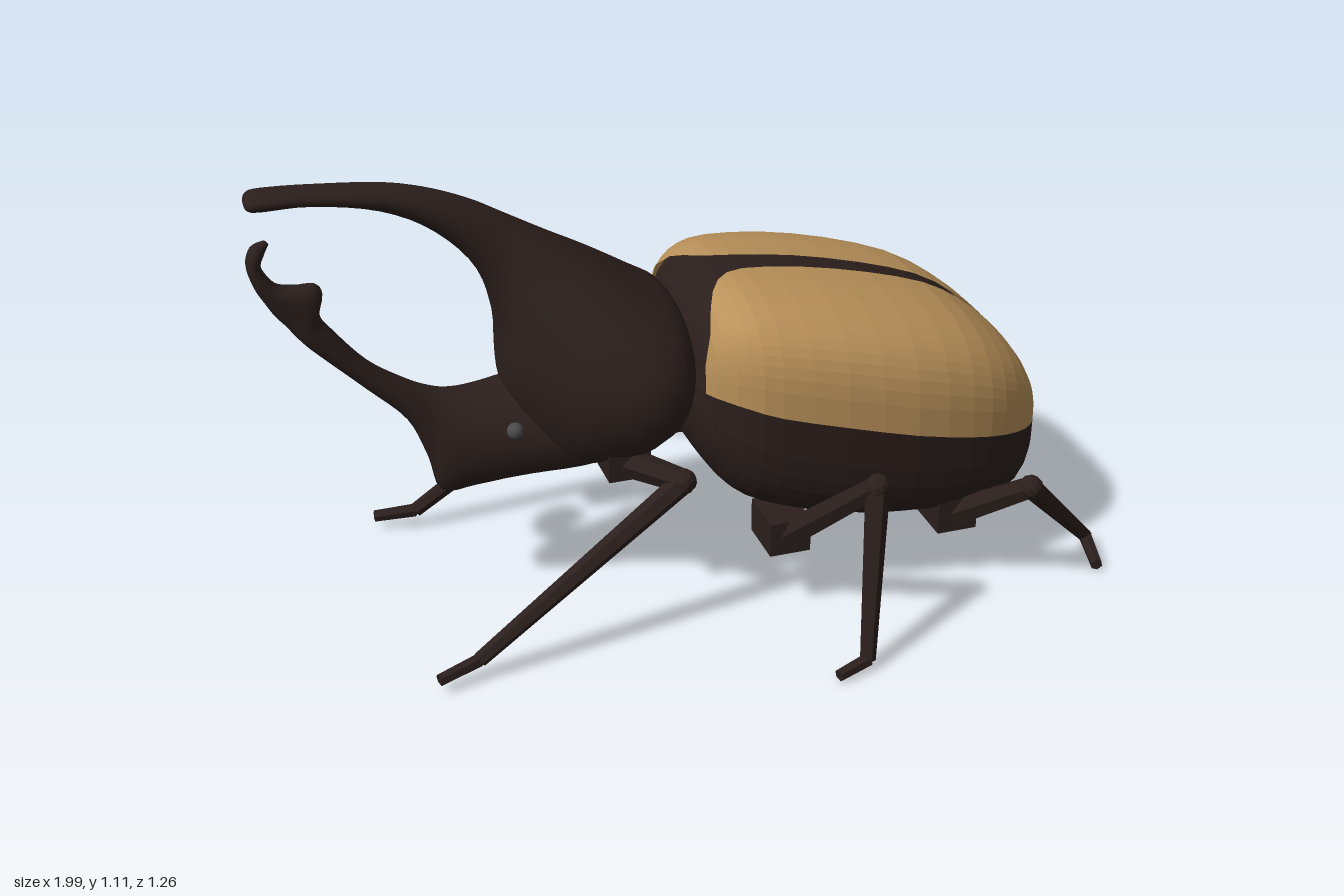
import * as THREE from 'three';

const dark = new THREE.MeshStandardMaterial({ color: 0x2b1f1c });
const darkFlat = new THREE.MeshStandardMaterial({ color: 0x2b1f1c, flatShading: true });
const tan = new THREE.MeshStandardMaterial({ color: 0xb9915a, flatShading: true, side: THREE.DoubleSide });
const grey = new THREE.MeshStandardMaterial({ color: 0x4a4a4a });
const midZ = 0.013; // body centre line

// Catmull-Rom resampling of rows of numbers
function resample(rows, steps) {
  const out = [];
  const at = i => rows[Math.max(0, Math.min(rows.length - 1, i))];
  for (let i = 0; i < rows.length - 1; i++) {
    for (let s = 0; s < steps; s++) {
      const t = s / steps;
      out.push(rows[i].map((p1, k) => {
        const p0 = at(i - 1)[k], p2 = at(i + 1)[k], p3 = at(i + 2)[k];
        return p1 + 0.5 * t * (p2 - p0 + t * (2 * p0 - 5 * p1 + 4 * p2 - p3 + t * (3 * (p1 - p2) + p3 - p0)));
      }));
    }
  }
  out.push(rows[rows.length - 1]);
  return out;
}

// Skin through rings of points; closed rings also get end caps
function loft(rings, closed) {
  const pos = [], idx = [], n = rings[0].length;
  rings.forEach(r => r.forEach(p => pos.push(...p)));
  for (let i = 0; i < rings.length - 1; i++) {
    for (let j = 0; j < (closed ? n : n - 1); j++) {
      const a = i * n + j, b = i * n + (j + 1) % n;
      idx.push(a, a + n, b, b, a + n, b + n);
    }
  }
  if (closed) {
    [0, rings.length - 1].forEach(i => {
      const c = pos.length / 3;
      pos.push(...[0, 1, 2].map(k => rings[i].reduce((s, p) => s + p[k], 0) / n));
      for (let j = 0; j < n; j++) {
        const a = i * n + j, b = i * n + (j + 1) % n;
        if (i === 0) idx.push(c, a, b); else idx.push(c, b, a);
      }
    });
  }
  const g = new THREE.BufferGeometry();
  g.setAttribute('position', new THREE.Float32BufferAttribute(pos, 3));
  g.setIndex(idx);
  g.computeVertexNormals();
  return g;
}

const spow = (v, e) => Math.sign(v) * Math.pow(Math.abs(v), e);

// Rounded body from rows [topX, topY, bottomX, bottomY, halfWidth], listed rear to front
function spineLoft(rows, sides = 24) {
  const rings = resample(rows, 4).reverse().map(([tx, ty, bx, by, w]) => {
    const ring = [];
    for (let j = 0; j < sides; j++) {
      const a = j / sides * Math.PI * 2, s = Math.sin(a) / 2;
      ring.push([(tx + bx) / 2 + (tx - bx) * s, (ty + by) / 2 + (ty - by) * s, midZ + w * Math.cos(a)]);
    }
    return ring;
  });
  return loft(rings, true);
}

// Abdomen rows: x, top, seam, bottom, halfWidth, inner edge of wing case
const abdomen = resample([
  [-0.045, 0.68, 0.58, 0.46, 0.14, 0.3],
  [-0.02, 0.73, 0.575, 0.39, 0.22, 0.25],
  [0.015, 0.765, 0.57, 0.33, 0.265, 0.15],
  [0.06, 0.785, 0.56, 0.275, 0.3, 0.07],
  [0.13, 0.79, 0.54, 0.235, 0.33, 0.04],
  [0.28, 0.77, 0.505, 0.19, 0.358, 0.035],
  [0.45, 0.73, 0.46, 0.165, 0.367, 0.031],
  [0.6, 0.68, 0.42, 0.15, 0.348, 0.027],
  [0.7, 0.62, 0.392, 0.145, 0.315, 0.022],
  [0.78, 0.55, 0.367, 0.155, 0.262, 0.018],
  [0.83, 0.475, 0.352, 0.195, 0.205, 0.014],
  [0.857, 0.41, 0.344, 0.25, 0.145, 0.01],
  [0.866, 0.35, 0.341, 0.31, 0.08, 0.008]
], 2);
const power = 3.3;

function abdomenPoint([x, top, seam, bottom, w], a, inset = 1) {
  const h = Math.sin(a) >= 0 ? top - seam : seam - bottom;
  return [0.4 + (x - 0.4) * (1 - (1 - inset) * 0.4),
    seam + h * inset * spow(Math.sin(a), 2 / power),
    w * inset * spow(Math.cos(a), 2 / power)];
}

function abdomenGeometry() {
  const sides = 40;
  return loft(abdomen.map(row => Array.from({ length: sides }, (_, j) => {
    const a = j / sides * Math.PI * 2;
    return abdomenPoint(row, a, j > 0 && j < sides / 2 ? 0.96 : 1);
  })), true);
}

function wingCaseGeometry() {
  const n = 14;
  return loft(abdomen.slice(2).map(row => {
    const end = Math.acos(Math.pow(Math.min(row[5] / row[4], 0.98), power / 2));
    return Array.from({ length: n + 1 }, (_, j) => abdomenPoint(row, end * j / n));
  }), false);
}

// Tapered six-sided leg segment between two points
function segment(name, a, b, r1, r2) {
  const A = new THREE.Vector3(...a), B = new THREE.Vector3(...b), d = B.clone().sub(A);
  const m = new THREE.Mesh(new THREE.CylinderGeometry(r2, r1, d.length(), 6), darkFlat);
  m.name = name;
  m.position.copy(A).add(B).multiplyScalar(0.5);
  m.quaternion.setFromUnitVectors(new THREE.Vector3(0, 1, 0), d.normalize());
  return m;
}

// Joint positions: hip, knee, ankle, toe
const legs = {
  frontLeg: [[-0.2, 0.41, 0.19], [-0.1, 0.405, 0.31], [-0.6, 0.05, 0.347], [-0.7, 0.035, 0.375]],
  middleLeg: [[0.16, 0.2, 0.29], [0.295, 0.425, 0.5], [0.25, 0.025, 0.59], [0.17, 0.015, 0.615]],
  hindLeg: [[0.59, 0.18, 0.29], [0.72, 0.305, 0.43], [0.975, 0.028, 0.265], [0.945, 0.018, 0.385]]
};

function makeLeg(name, s) {
  const g = new THREE.Group();
  g.name = name;
  const [hip, knee, ankle, toe] = legs[name].map(([x, y, z]) => [x, y, midZ * 0.5 + s * z]);
  g.add(segment('femur', hip, knee, 0.036, 0.028));
  g.add(segment('tibia', knee, ankle, 0.028, 0.018));
  g.add(segment('foot', ankle, toe, 0.017, 0.015));
  const joint = new THREE.Mesh(new THREE.IcosahedronGeometry(0.03, 1), darkFlat);
  joint.name = 'kneeJoint';
  joint.position.set(...knee);
  const coxa = new THREE.Mesh(new THREE.BoxGeometry(0.1, 0.085, 0.13), darkFlat);
  coxa.name = 'coxa';
  coxa.position.set(hip[0], hip[1] + 0.01, hip[2] - s * 0.035);
  g.add(joint, coxa);
  return g;
}

export function createModel() {
  const model = new THREE.Group();
  model.name = 'hornedBeetle';
  const add = (name, geometry, material) => {
    const m = new THREE.Mesh(geometry, material);
    m.name = name;
    model.add(m);
    return m;
  };

  // Abdomen and the pair of wing cases
  add('abdomen', abdomenGeometry(), darkFlat).position.z = midZ;
  for (const s of [1, -1]) {
    const wing = add('wingCase', wingCaseGeometry(), tan);
    wing.position.z = midZ;
    wing.scale.z = s;
  }

  // Thorax shield running forward into the upper horn
  add('thoraxAndUpperHorn', spineLoft([
    [-0.02, 0.7, -0.05, 0.45, 0.19], [-0.05, 0.755, -0.1, 0.41, 0.265],
    [-0.12, 0.8, -0.2, 0.37, 0.295], [-0.22, 0.865, -0.34, 0.38, 0.25],
    [-0.32, 0.925, -0.44, 0.54, 0.16], [-0.42, 0.985, -0.452, 0.72, 0.09],
    [-0.5, 1.03, -0.49, 0.86, 0.065], [-0.6, 1.07, -0.58, 0.965, 0.052],
    [-0.7, 1.092, -0.7, 1.032, 0.045], [-0.85, 1.105, -0.85, 1.064, 0.043],
    [-0.95, 1.11, -0.96, 1.065, 0.043], [-0.98, 1.105, -0.985, 1.07, 0.035],
    [-0.99, 1.093, -0.99, 1.08, 0.012]
  ]), dark);

  // Head with the upward-curving lower horn and its tooth
  add('headAndLowerHorn', spineLoft([
    [-0.13, 0.57, -0.13, 0.41, 0.2], [-0.25, 0.58, -0.25, 0.355, 0.185],
    [-0.4, 0.58, -0.4, 0.33, 0.125], [-0.5, 0.57, -0.52, 0.315, 0.09],
    [-0.56, 0.57, -0.6, 0.312, 0.07], [-0.61, 0.582, -0.625, 0.4, 0.052],
    [-0.67, 0.612, -0.67, 0.51, 0.042], [-0.75, 0.67, -0.76, 0.605, 0.036],
    [-0.82, 0.755, -0.865, 0.71, 0.034], [-0.848, 0.8, -0.9, 0.75, 0.034],
    [-0.838, 0.85, -0.925, 0.785, 0.034], [-0.852, 0.875, -0.945, 0.81, 0.033],
    [-0.89, 0.875, -0.965, 0.845, 0.031], [-0.935, 0.885, -0.985, 0.885, 0.028],
    [-0.965, 0.93, -0.998, 0.94, 0.024], [-0.957, 0.96, -0.985, 0.98, 0.02],
    [-0.945, 0.983, -0.955, 0.993, 0.008]
  ], 20), dark);

  // Eyes and legs on both sides
  for (const s of [1, -1]) {
    const eye = add('eye', new THREE.SphereGeometry(0.02, 14, 10), grey);
    eye.position.set(-0.44, 0.49, midZ + s * 0.103);
    for (const name of Object.keys(legs)) model.add(makeLeg(name, s));
  }
  return model;
}
